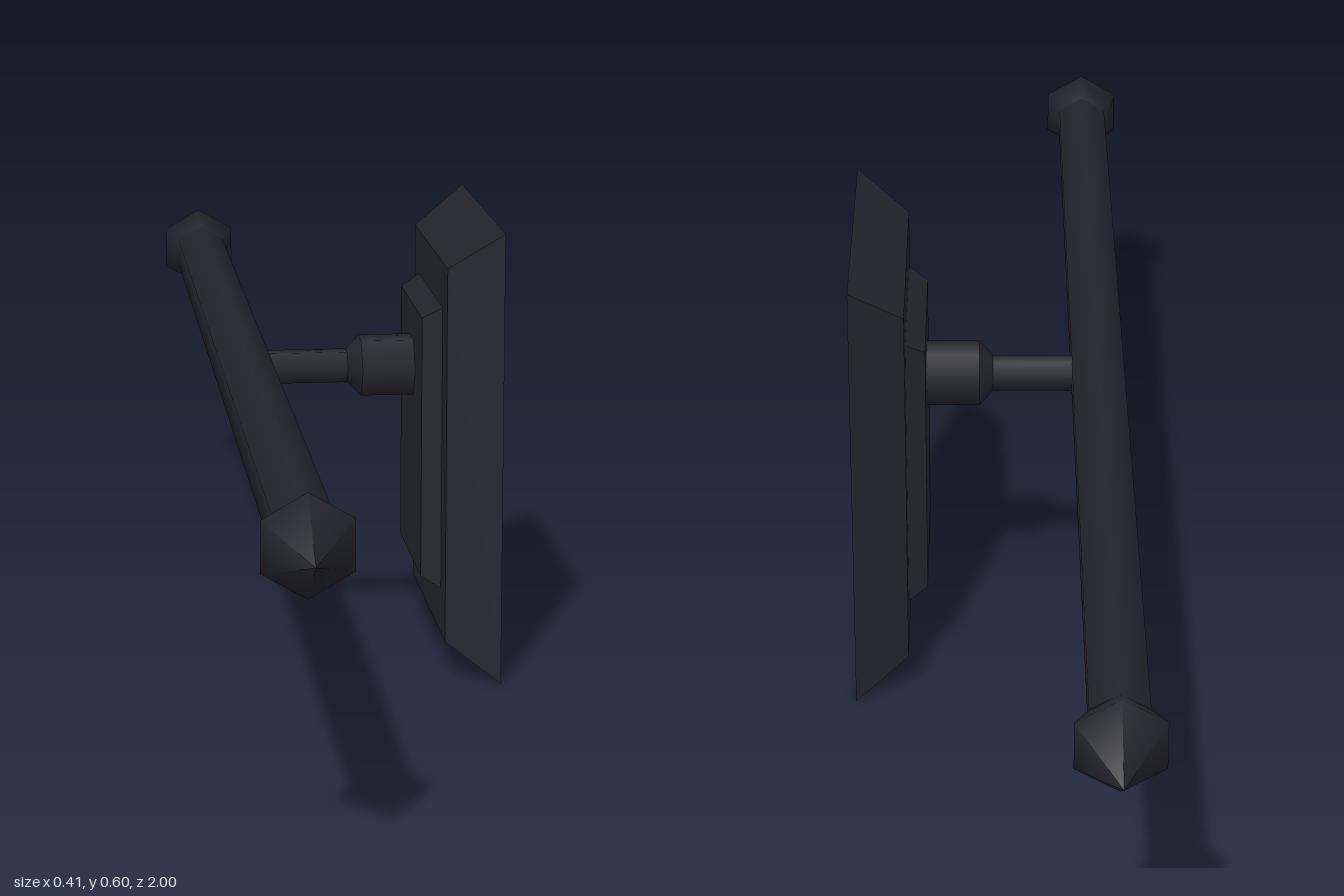
import * as THREE from 'three';

const darkIron = new THREE.MeshStandardMaterial({ color: 0x23232d, side: THREE.DoubleSide });
darkIron.name = 'dark iron';

const BAR_Y = 0.39;

// Six-sided turned part from [radius, height] pairs
function turned(profile) {
  return new THREE.LatheGeometry(profile.map(([r, h]) => new THREE.Vector2(r, h)), 6);
}

// Open-backed stepped shell; each ring is [x, half depth, half height]
function shell(rings) {
  const corners = ([x, z, y]) => [[x, -y, -z], [x, -y, z], [x, y, z], [x, y, -z]];
  const pos = [];
  const quad = (a, b, c, d) => pos.push(...a, ...b, ...c, ...a, ...c, ...d);
  for (let i = 0; i < rings.length - 1; i++) {
    const p = corners(rings[i]);
    const q = corners(rings[i + 1]);
    for (let j = 0; j < 4; j++) {
      const k = (j + 1) % 4;
      quad(p[j], p[k], q[k], q[j]);
    }
  }
  quad(...corners(rings[rings.length - 1]));
  const geo = new THREE.BufferGeometry();
  geo.setAttribute('position', new THREE.Float32BufferAttribute(pos, 3));
  geo.computeVertexNormals();
  return geo;
}

export function createModel() {
  const model = new THREE.Group();
  model.name = 'wallRail';

  const add = (name, geo, x, y, z) => {
    const mesh = new THREE.Mesh(geo, darkIron);
    mesh.name = name;
    mesh.position.set(x, y, z);
    model.add(mesh);
    return mesh;
  };

  // Long rail along z
  add('rail', turned([[0.04, -0.885], [0.04, 0.885]]).rotateX(Math.PI / 2), 0, BAR_Y, 0);

  // Pointed finials at both ends
  for (const s of [1, -1]) {
    const geo = turned([[0.04, 0.87], [0.06, 0.912], [0, 1]]).rotateX(s * Math.PI / 2);
    add(s > 0 ? 'frontFinial' : 'backFinial', geo, 0, BAR_Y, 0);
  }

  // Post joining rail to wall plate: thin neck, flare, thick collar
  const post = (name, profile) => add(name, turned(profile).rotateZ(-Math.PI / 2), 0, BAR_Y, 0);
  post('postNeck', [[0.0237, 0], [0.0237, 0.139]]);
  post('postFlare', [[0.0237, 0.139], [0.043, 0.157]]);
  post('postCollar', [[0.043, 0.157], [0.043, 0.229]]);
  add('postEnd', new THREE.CircleGeometry(0.043, 6).rotateY(Math.PI / 2), 0.229, BAR_Y, 0);

  // Bevelled wall plate with raised panel, hollow behind
  add('wallPlate', shell([
    [0.3225, 0.2, 0.3],
    [0.2525, 0.167, 0.25],
    [0.2525, 0.122, 0.19],
    [0.227, 0.111, 0.175],
  ]), 0, 0.3, 0);

  // The whole fitting sits at a slight turn
  model.rotation.y = 0.03;
  model.position.x = -0.125;

  const root = new THREE.Group();
  root.name = 'railAssembly';
  root.add(model);
  return root;
}
